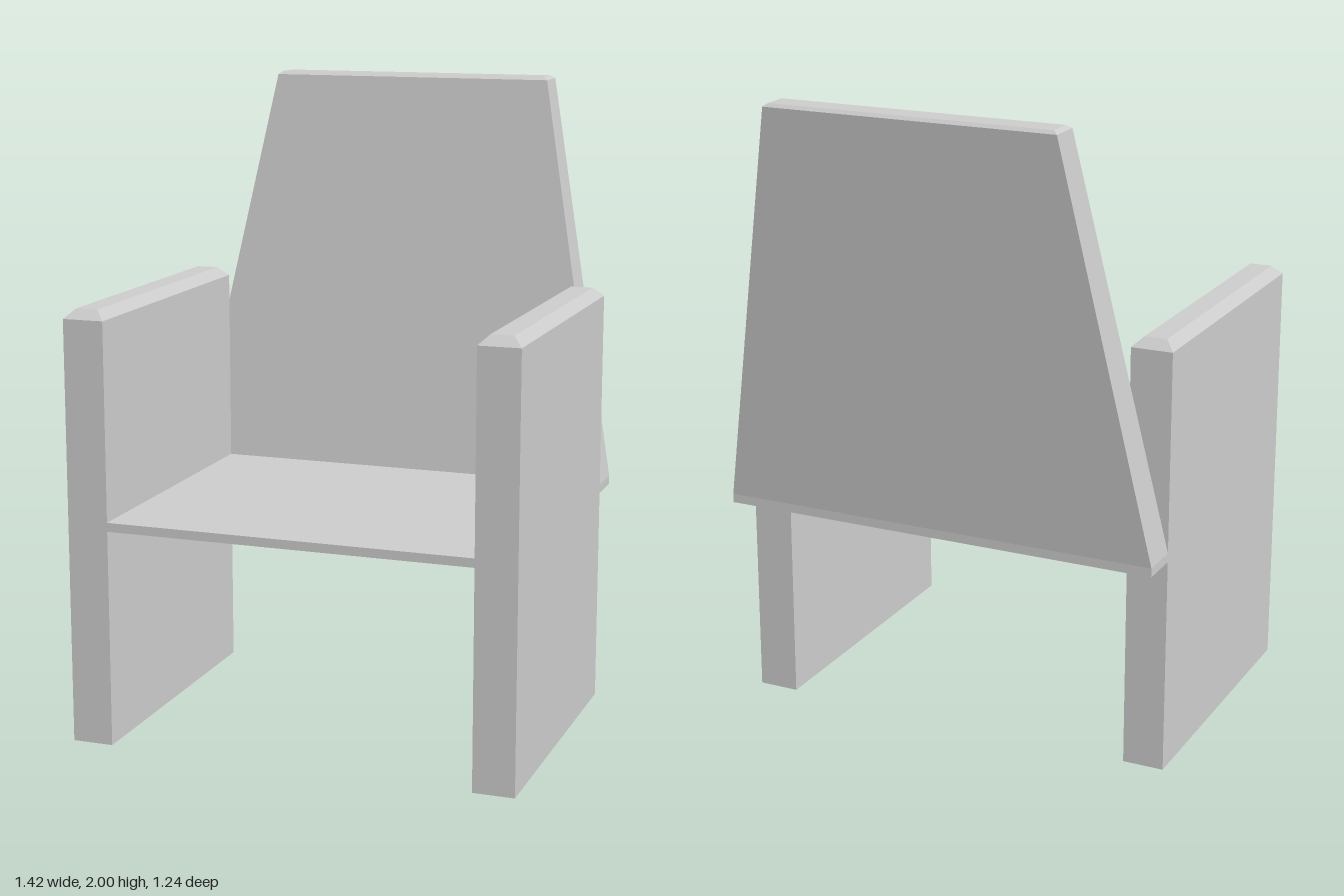
import * as THREE from 'three';

const material = new THREE.MeshStandardMaterial({ color: 0xcccccc, flatShading: true });

// Closed solid through stacked rectangles, each [y, x0, x1, z0, z1], bottom to top
function loft(name, sections) {
  const rings = sections.map(([y, x0, x1, z0, z1]) =>
    [[x0, y, z0], [x0, y, z1], [x1, y, z1], [x1, y, z0]]);
  const positions = [];
  const quad = (a, b, c, d) => positions.push(...a, ...b, ...c, ...a, ...c, ...d);
  for (let i = 0; i < rings.length - 1; i++) {
    const lo = rings[i], hi = rings[i + 1];
    for (let k = 0; k < 4; k++) {
      const n = (k + 1) % 4;
      quad(lo[k], lo[n], hi[n], hi[k]);
    }
  }
  quad(...[...rings[0]].reverse());
  quad(...rings[rings.length - 1]);
  const geometry = new THREE.BufferGeometry();
  geometry.setAttribute('position', new THREE.Float32BufferAttribute(positions, 3));
  geometry.computeVertexNormals();
  const mesh = new THREE.Mesh(geometry, material);
  mesh.name = name;
  return mesh;
}

export function createModel() {
  const chair = new THREE.Group();
  chair.name = 'armchair';

  const inner = 0.58, outer = 0.71;
  const front = 0.622, rear = -0.345, backRear = -0.475;
  const seatBottom = 0.682, seatTop = 0.71;

  // Side panels acting as legs and armrests, with a chamfered top
  for (const [name, x0, x1] of [['leftArm', inner, outer], ['rightArm', -outer, -inner]]) {
    const c = 0.03;
    chair.add(loft(name, [
      [0, x0, x1, rear, front],
      [1.328, x0, x1, rear, front],
      [1.357, x0 + c, x1 - c, rear + c, front - c],
    ]));
  }

  // Thin seat between the panels
  chair.add(loft('seat', [
    [seatBottom, -inner, inner, rear, front],
    [seatTop, -inner, inner, rear, front],
  ]));

  // Full-width base, then the leaning, tapering backrest with a small top chamfer
  chair.add(loft('backrest', [
    [seatBottom, -outer, outer, backRear, rear],
    [seatTop, -outer, outer, backRear, rear],
    [1.99, -0.465, 0.465, -0.622, -0.518],
    [2, -0.452, 0.452, -0.612, -0.532],
  ]));

  return chair;
}
